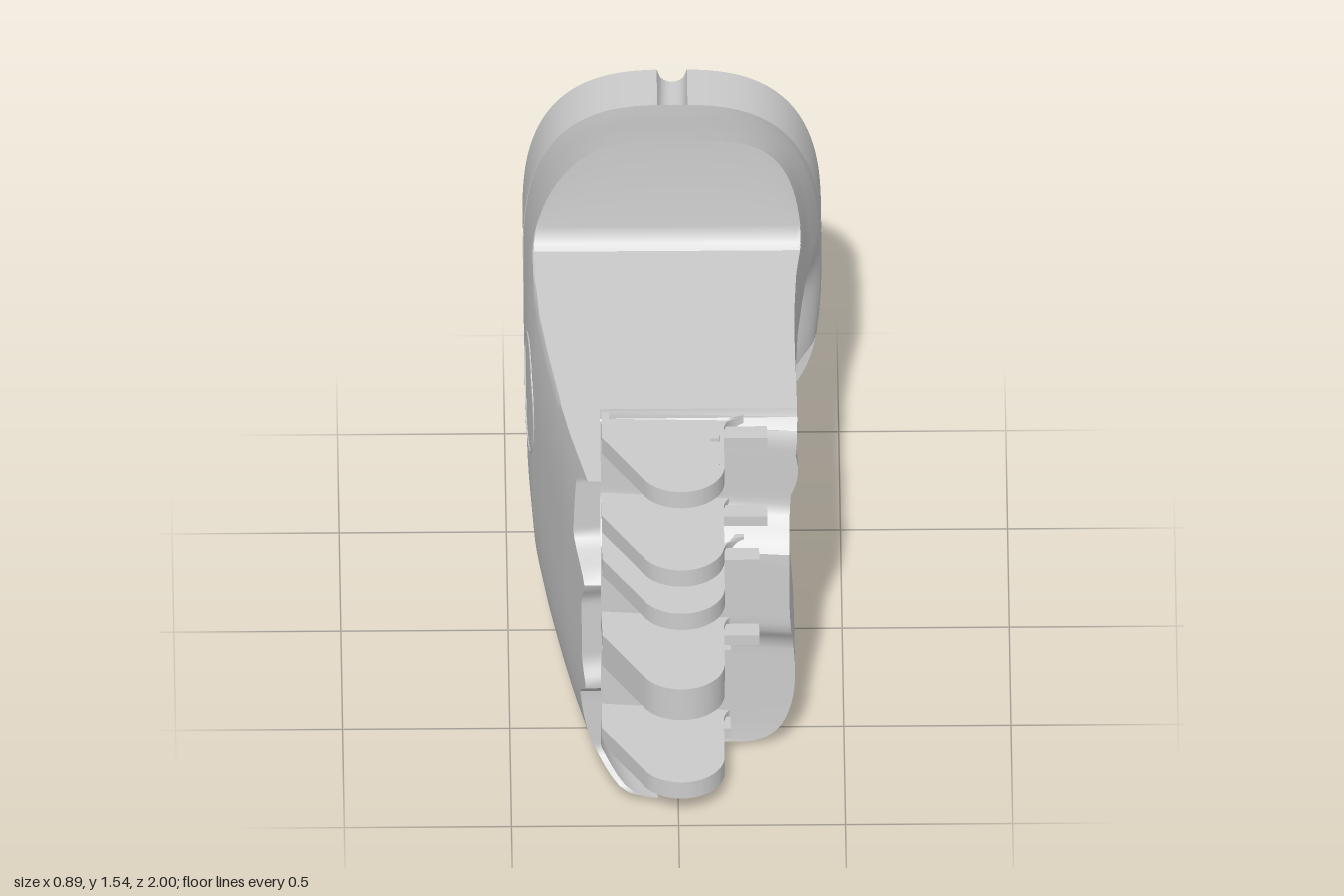
import * as THREE from 'three';
import { toCreasedNormals } from 'three/addons/utils/BufferGeometryUtils.js';

const step = THREE.MathUtils.smoothstep, lerp = THREE.MathUtils.lerp;
const fall = (v, a, b) => 1 - step(v, a, b);

// Palm stations: z, left x, right x, bottom y, top y,
// exponent above, exponent below, extra squareness of the right side
const STATIONS = [
  [-0.82, -0.445, 0.447, 0.24, 1.35, 2.8, 2.8, 0],
  [-0.7, -0.447, 0.442, 0.195, 1.4, 2.8, 3, 0.4],
  [-0.6, -0.447, 0.424, 0.155, 1.445, 2.8, 3.2, 0.8],
  [-0.5, -0.446, 0.404, 0.12, 1.49, 2.8, 3.4, 1.2],
  [-0.37, -0.445, 0.387, 0.075, 1.545, 2.8, 3.6, 1.6],
  [-0.2, -0.442, 0.369, 0.03, 1.56, 2.8, 3.8, 1.6],
  [0, -0.43, 0.361, 0.006, 1.56, 2.8, 4, 1.6],
  [0.2, -0.405, 0.361, 0.01, 1.56, 2.8, 4, 1.6],
  [0.4, -0.375, 0.364, 0.015, 1.56, 2.8, 4, 1.6],
  [0.6, -0.34, 0.364, 0.018, 1.56, 2.8, 4, 1.6],
  [0.9, -0.275, 0.364, 0.018, 1.56, 2.8, 4, 1.6],
];
function station(z) {
  let i = 0;
  while (i < STATIONS.length - 2 && STATIONS[i + 1][0] < z) i++;
  const a = STATIONS[i], b = STATIONS[i + 1];
  const t = THREE.MathUtils.clamp((z - a[0]) / (b[0] - a[0]), 0, 1);
  const [, xl, xr, yb, yt, nt, nb, square] = a.map((v, k) => lerp(v, b[k], t));
  return { cx: (xl + xr) / 2, cy: (yb + yt) / 2, w: (xr - xl) / 2, h: (yt - yb) / 2, nt, nb, square };
}
// Superellipse point, angle measured clockwise from the top
function oval(cx, cy, w, h, n, a) {
  const s = Math.sin(a), c = Math.cos(a);
  const r = (Math.abs(s) ** n + Math.abs(c) ** n) ** (-1 / n);
  return [cx + w * s * r, cy + h * c * r];
}
function section(z, a) {
  const p = station(z);
  const n = (Math.cos(a) > 0 ? p.nt : p.nb) + (Math.sin(a) > 0 ? p.square : 0);
  return oval(p.cx, p.cy, p.w, p.h, n, a);
}
// x of the left-hand (negative) skin at a given height
function skinX(z, y) {
  const p = station(z), v = Math.min(1, Math.abs((y - p.cy) / p.h));
  const n = y > p.cy ? p.nt : p.nb;
  return p.cx - p.w * (1 - v ** n) ** (1 / n);
}
// Depth of the knuckle wall: staggered for three fingers
const wall = (y) => 0.54 + 0.05 * step(y, 0.39, 0.48) - 0.11 * step(y, 0.74, 0.86);

// Skin closed loops of points and cap both ends with strips
function loft(rows, crease) {
  const n = rows[0].length, last = (rows.length - 1) * n, idx = [];
  for (let k = 0; k < rows.length - 1; k++) {
    for (let i = 0; i < n; i++) {
      const a = k * n + i, b = k * n + (i + 1) % n;
      idx.push(a, a + n, b, b, a + n, b + n);
    }
  }
  for (let i = 0; i < n / 2 - 1; i++) {
    const j = n - 1 - i;
    idx.push(last + i, last + j, last + i + 1, last + j, last + j - 1, last + i + 1);
    idx.push(i, i + 1, j, j, i + 1, j - 1);
  }
  const g = new THREE.BufferGeometry();
  g.setAttribute('position', new THREE.Float32BufferAttribute(rows.flat(2), 3));
  g.setIndex(idx);
  return toCreasedNormals(g, crease);
}

function palmGeometry() {
  const N = 180, ceiling = 0.55, rows = [];
  const ring = (t, clampY, cut) => {
    const row = [];
    let above = true;
    for (let i = 0; i < N; i++) {
      const a = ((i + 0.5) / N) * Math.PI * 2;
      let [x, y] = section(t, a), z = t;
      // stretch the front to the staggered knuckle wall
      if (t > 0.2) {
        const end = wall(Math.min(y, 1.17)) + 0.06 * step(x, -0.3, 0.3) * fall(y, 1.08, 1.17);
        z = 0.2 + ((t - 0.2) / 0.3) * (end - 0.2);
        [x, y] = section(z, a);
      }
      y = Math.min(y, clampY);
      // hollow of the palm next to the thumb, and a slight waist at the front
      if (x > 0) {
        const z0 = 0.27 - 0.9 * Math.max(0, y - 0.5);
        const mask = step(-z, -z0, -z0 + 0.32) * fall(-z, 0.5, 0.8) * fall(y, 0.74, 0.97);
        const housing = step(-z, 0.25, 0.45) * fall(y, 0.5, 0.78);
        x *= 1 - 0.34 * mask * (1 - 0.6 * housing);
        x -= 0.028 * step(t, -0.2, 0.4) * fall(Math.abs(y - 0.68), 0.1, 0.5) * step(x, 0.2, 0.3);
      }
      // thumb socket with a level ceiling
      if (cut && y < ceiling) {
        x = Math.min(x, 0.03);
        if (above) row[i - 1][1] = y = ceiling;
        above = false;
      }
      row.push([x, y, z]);
    }
    rows.push(row);
  };
  const span = (a, b, n, cut, top = 9) => {
    for (let i = 0; i <= n; i++) ring(lerp(a, b, i / n), top, cut);
  };
  span(-0.82, -0.765, 3, false);
  span(-0.765, -0.37, 14, true);
  // shoulder fillet down to the flat top
  [[-0.369, 1.23], [-0.363, 1.203], [-0.348, 1.182], [-0.325, 1.171]].forEach(([z, y]) => ring(z, y, true));
  span(-0.324, 0.5, 36, false, 1.17);
  return loft(rows, 0.6);
}

// Back-of-hand guard: flat inside, skin outside, scalloped front edge
function guardGeometry() {
  const rows = [], mids = [[1.0, 0.73], [0.62, 0.84], [0.24, 0.78]];
  for (let j = 0; j <= 60; j++) {
    const y = lerp(0.022, 1.17, j / 60);
    let end = 0.88;
    for (const [c, z] of mids) end = lerp(end, z, fall(Math.abs(y - c), 0.1, 0.2));
    const start = wall(y) - 0.04, outer = [], inside = [];
    for (let i = 0; i < 8; i++) {
      const z = lerp(start, end, i / 7), x = skinX(z, y);
      outer.unshift([x, y, z]);
      inside.push([Math.max(-0.23, x + 0.02), y, z]);
    }
    rows.push([...outer, ...inside]);
  }
  return loft(rows, 0.6);
}

// Wrist collar: outside with four key grooves, then a straight pocket down to its floor
function collarGeometry() {
  const N = 280, cy = 0.795, r = 0.045;
  const loop = (z, w, h, n, grooved) => Array.from({ length: N }, (_, i) => {
    let [x, y] = oval(0, 0, w, h, n, -((i + 0.5) / N) * Math.PI * 2);
    if (grooved && Math.abs(x) < r) y -= Math.sign(y) * Math.sqrt(r * r - x * x);
    else if (grooved && Math.abs(y) < r) x -= Math.sign(x) * Math.sqrt(r * r - y * y);
    return [x, y + cy, z];
  });
  return loft([
    loop(-0.81, 0.447, 0.555, 2.8, true),
    loop(-1, 0.447, 0.555, 2.8, true),
    loop(-1, 0.355, 0.465, 3.2, false),
    loop(-0.825, 0.355, 0.465, 3.2, false),
  ], 0.5);
}

// Teardrop outline of a hinge plate in x and -z
function plateShape(front) {
  const s = new THREE.Shape();
  s.moveTo(-0.225, 0.04 - front);
  s.lineTo(-0.225, -front - 0.13);
  s.lineTo(-0.1, -front - 0.345);
  s.absarc(0.01, -front - 0.28, 0.13, Math.PI * 1.17, Math.PI * 2, false);
  s.lineTo(0.14, -front - 0.09);
  s.quadraticCurveTo(0.145, -front - 0.03, 0.2, -front - 0.02);
  s.lineTo(0.2, 0.04 - front);
  return s;
}
function flatExtrude(shape, depth) {
  const g = new THREE.ExtrudeGeometry(shape, { depth, bevelEnabled: false, curveSegments: 20 });
  return toCreasedNormals(g.rotateX(-Math.PI / 2).translate(0, -depth / 2, 0), 0.5);
}

export function createModel() {
  const model = new THREE.Group();
  const material = new THREE.MeshStandardMaterial({ color: 0xcccccc });
  const add = (name, geometry, x = 0, y = 0, z = 0) => {
    const mesh = new THREE.Mesh(geometry, material);
    mesh.name = name;
    mesh.position.set(x, y, z);
    model.add(mesh);
  };
  add('palm', palmGeometry());
  add('knuckleGuard', guardGeometry());
  add('wristCollar', collarGeometry());

  // Round cover seam on the back of the hand
  const seam = [];
  for (let i = 0; i < 40; i++) {
    const a = (i / 40) * Math.PI * 2, y = 0.8 + 0.18 * Math.sin(a), z = -0.12 + 0.18 * Math.cos(a);
    seam.push(new THREE.Vector3(skinX(z, y), y, z));
  }
  add('coverSeam', new THREE.TubeGeometry(new THREE.CatmullRomCurve3(seam, true), 80, 0.004, 6, true));

  // Three finger hinges: lower plate, upper plate, tip depth, peg reach
  const fingers = [[0.84, 1.13, 0.89, 0.27], [0.48, 0.76, 1.0, 0.245], [0.1, 0.39, 0.95, 0.16]];
  for (const [low, high, tip, reach] of fingers) {
    const front = tip - 0.41;
    // raised rim left after cutting a slightly smaller outline
    const rim = plateShape(front), cy = -front - 0.18;
    rim.holes.push(new THREE.Path(plateShape(front).getPoints(20).map(
      (p) => new THREE.Vector2(p.x * 0.9, cy + (p.y - cy) * 0.92))));
    for (const [y, side] of [[low, -1], [high, 1]]) {
      add('hingePlate', flatExtrude(plateShape(front), 0.036), 0, y - side * 0.012, 0);
      add('hingeRim', flatExtrude(rim, 0.03), 0, y + side * 0.015, 0);
      add('hingePeg', new THREE.BoxGeometry(reach - 0.1, 0.035, 0.06), (reach + 0.1) / 2, y, front + 0.09);
    }
  }

  // Thumb hinge: two facing discs in the socket
  for (const [z, side] of [[-0.37, 1], [-0.68, -1]]) {
    const disc = (name, r, t, dz) =>
      add(name, new THREE.CylinderGeometry(r, r, t, 48).rotateX(Math.PI / 2), 0.175, 0.325, z + dz);
    disc('thumbHingeDisc', 0.197, 0.04, -side * 0.015);
    disc('thumbHingeBoss', 0.18, 0.03, side * 0.02);
  }
  return model;
}
